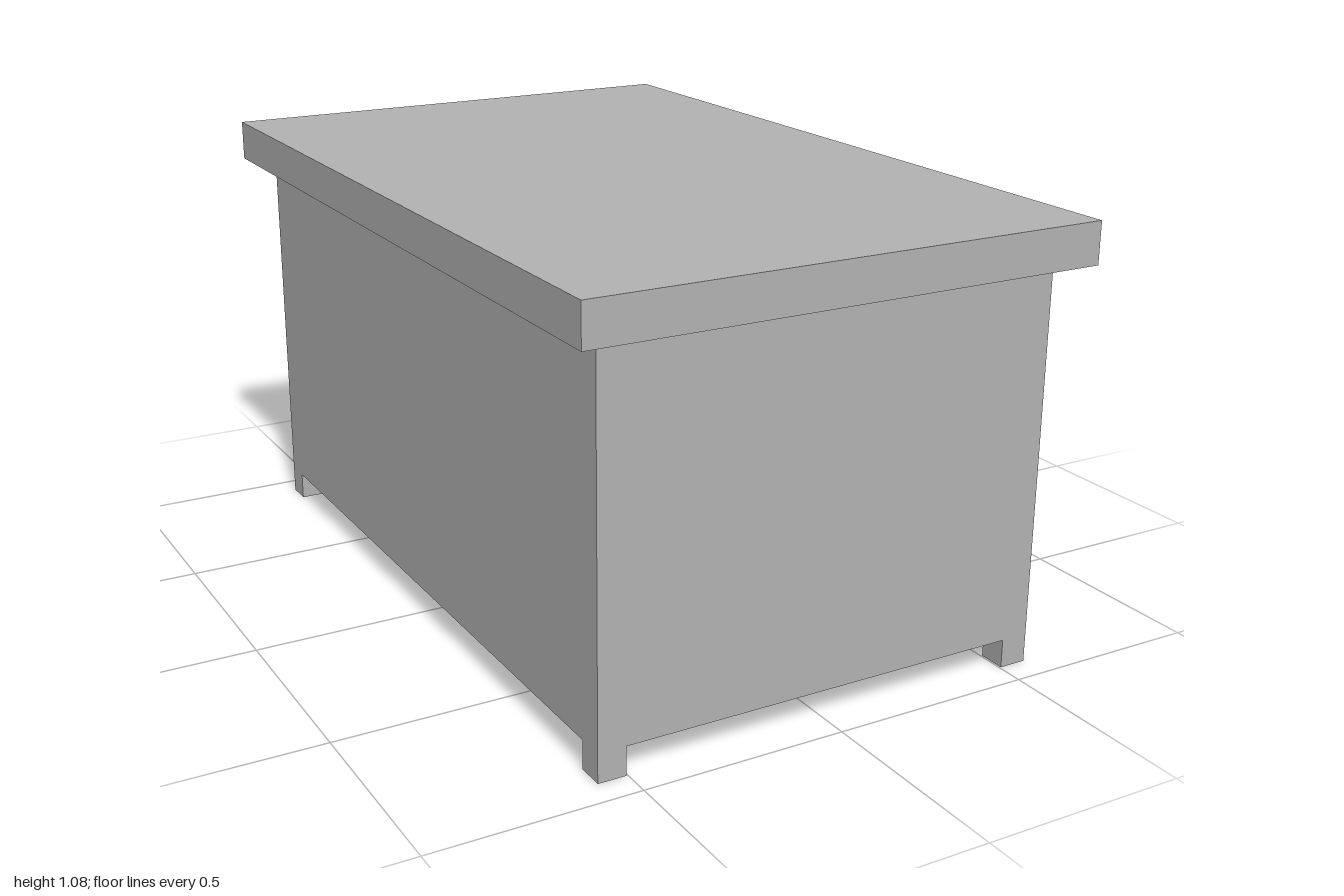
import * as THREE from 'three';

export function createModel() {
  const group = new THREE.Group();
  const grey = new THREE.MeshStandardMaterial({ color: 0xb2b2b2 });
  grey.name = 'grey';

  // Box given by its lower and upper corners
  const box = (name, [x0, y0, z0], [x1, y1, z1]) => {
    const mesh = new THREE.Mesh(new THREE.BoxGeometry(x1 - x0, y1 - y0, z1 - z0), grey);
    mesh.position.set((x0 + x1) / 2, (y0 + y1) / 2, (z0 + z1) / 2);
    mesh.name = name;
    group.add(mesh);
  };

  const X = 0.572, Z = 0.932; // half size of the body
  const T = 0.068;            // panel and foot thickness
  const foot = 0.07, knee = 0.72, under = 0.976, top = 1.077;

  // Overhanging desk top
  box('deskTop', [-0.639, under, -1], [0.639, top, 1]);

  // Solid upper body above the knee space
  box('upperBody', [-X, knee, -Z], [X, under, Z]);

  // Thick closed panel opposite the knee opening
  box('modestyPanel', [-X, foot, -Z + T], [-X + 2 * T, knee, Z - T]);

  // End panels
  box('frontPanel', [-X, foot, Z - T], [X, knee, Z]);
  box('backPanel', [-X, foot, -Z], [X, knee, -Z + T]);

  // Corner feet
  for (const x of [-X, X - T]) {
    for (const z of [-Z, Z - T]) box('foot', [x, 0, z], [x + T, foot, z + T]);
  }
  return group;
}
